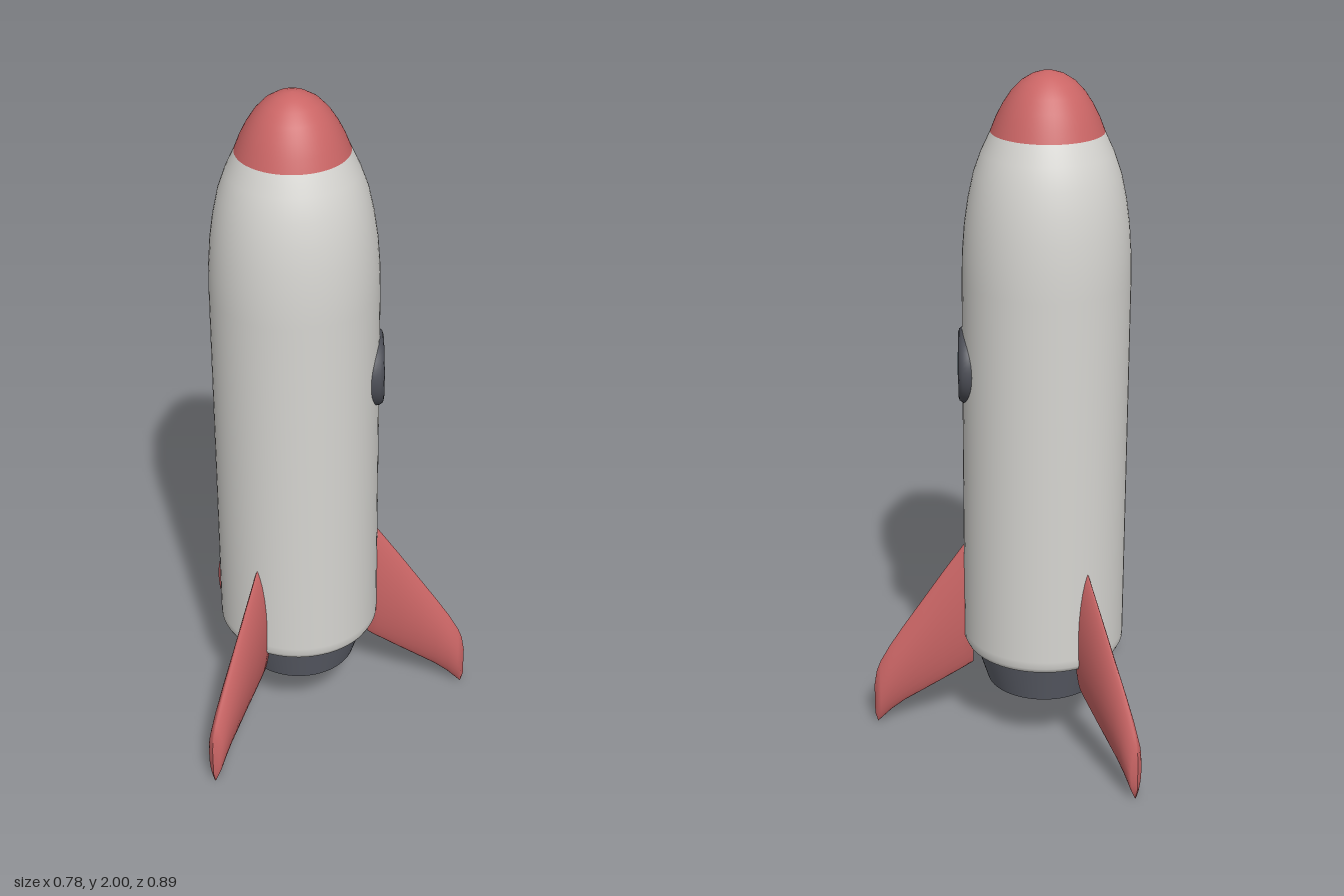
import * as THREE from 'three';

const mat = (name, color) => {
  const m = new THREE.MeshStandardMaterial({ color });
  m.name = name;
  return m;
};

const named = (name, geometry, material) => {
  const mesh = new THREE.Mesh(geometry, material);
  mesh.name = name;
  return mesh;
};

const lathe = (profile, segments = 64) =>
  new THREE.LatheGeometry(profile.map(([r, y]) => new THREE.Vector2(r, y)), segments);

// Swept fin with lens-shaped sections; stations are [radius, top, bottom, half thickness]
function finGeometry() {
  const stations = [
    [0.21, 0.63, 0.205, 0],
    [0.21, 0.63, 0.205, 0.026],
    [0.24, 0.592, 0.185, 0.028],
    [0.30, 0.505, 0.147, 0.028],
    [0.36, 0.415, 0.11, 0.028],
    [0.42, 0.325, 0.073, 0.028],
    [0.46, 0.262, 0.042, 0.027],
    [0.49, 0.207, 0.012, 0.025],
    [0.502, 0.175, 0.0, 0.018],
    [0.51, 0.125, 0.03, 0],
  ];
  const sides = 24;
  const positions = [], index = [];
  stations.forEach(([r, top, bottom, w], i) => {
    for (let j = 0; j < sides; j++) {
      const a = (j / sides) * Math.PI * 2;
      const s = Math.sin(a);
      positions.push(r, (top + bottom) / 2 + ((top - bottom) / 2) * Math.cos(a),
        w * s * Math.sqrt(Math.abs(s)));
      if (i === stations.length - 1) continue;
      const p = i * sides + j, q = i * sides + (j + 1) % sides;
      index.push(p, q, p + sides, q, q + sides, p + sides);
    }
  });
  const g = new THREE.BufferGeometry();
  g.setAttribute('position', new THREE.Float32BufferAttribute(positions, 3));
  g.setIndex(index);
  g.computeVertexNormals();
  return g;
}

export function createModel() {
  const white = mat('hull white', 0xd6d5d1);
  const red = mat('fin red', 0xca6565);
  const grey = mat('nozzle grey', 0x5f626c);
  const dark = mat('frame grey', 0x4c4e56);
  const blue = mat('window blue', 0x86bace);

  const model = new THREE.Group();
  model.name = 'rocket';
  const rocket = new THREE.Group();
  rocket.name = 'rocketBody';
  rocket.position.x = -0.122;
  model.add(rocket);

  // Hull with a rounded lower rim and a tapering shoulder
  rocket.add(named('hull', lathe([
    [0, 0.288], [0.2, 0.288], [0.215, 0.288], [0.228, 0.294], [0.235, 0.308], [0.236, 0.33],
    [0.236, 0.9], [0.236, 1.42], [0.234, 1.5], [0.228, 1.58], [0.218, 1.65],
    [0.203, 1.72], [0.182, 1.78], [0.156, 1.836],
  ]), white));

  // Nose cap
  rocket.add(named('noseCap', lathe([
    [0.156, 1.836], [0.142, 1.872], [0.124, 1.908], [0.102, 1.942],
    [0.075, 1.971], [0.045, 1.99], [0.02, 1.998], [0, 2],
  ]), red));

  // Engine nozzle
  const nozzle = named('nozzle', new THREE.CylinderGeometry(0.208, 0.166, 0.13, 64), grey);
  nozzle.position.y = 0.233;
  rocket.add(nozzle);

  // Three fins, evenly spaced
  const finShape = finGeometry();
  for (let i = 0; i < 3; i++) {
    const fin = named('fin' + (i + 1), finShape, red);
    fin.rotation.y = (i * Math.PI * 2) / 3;
    rocket.add(fin);
  }

  // Round window on the left side: frame and slightly domed glass
  const porthole = new THREE.Group();
  porthole.name = 'porthole';
  porthole.position.set(0.2, 1.163, 0);
  porthole.rotation.z = -Math.PI / 2;
  porthole.add(named('windowFrame', lathe([
    [0.108, 0], [0.111, 0.02], [0.109, 0.034], [0.102, 0.044],
    [0.092, 0.047], [0.084, 0.044], [0.08, 0.036],
  ], 48), dark));
  porthole.add(named('windowGlass', lathe([
    [0.083, 0.041], [0.06, 0.046], [0.03, 0.049], [0, 0.05],
  ], 48), blue));
  rocket.add(porthole);

  return model;
}
